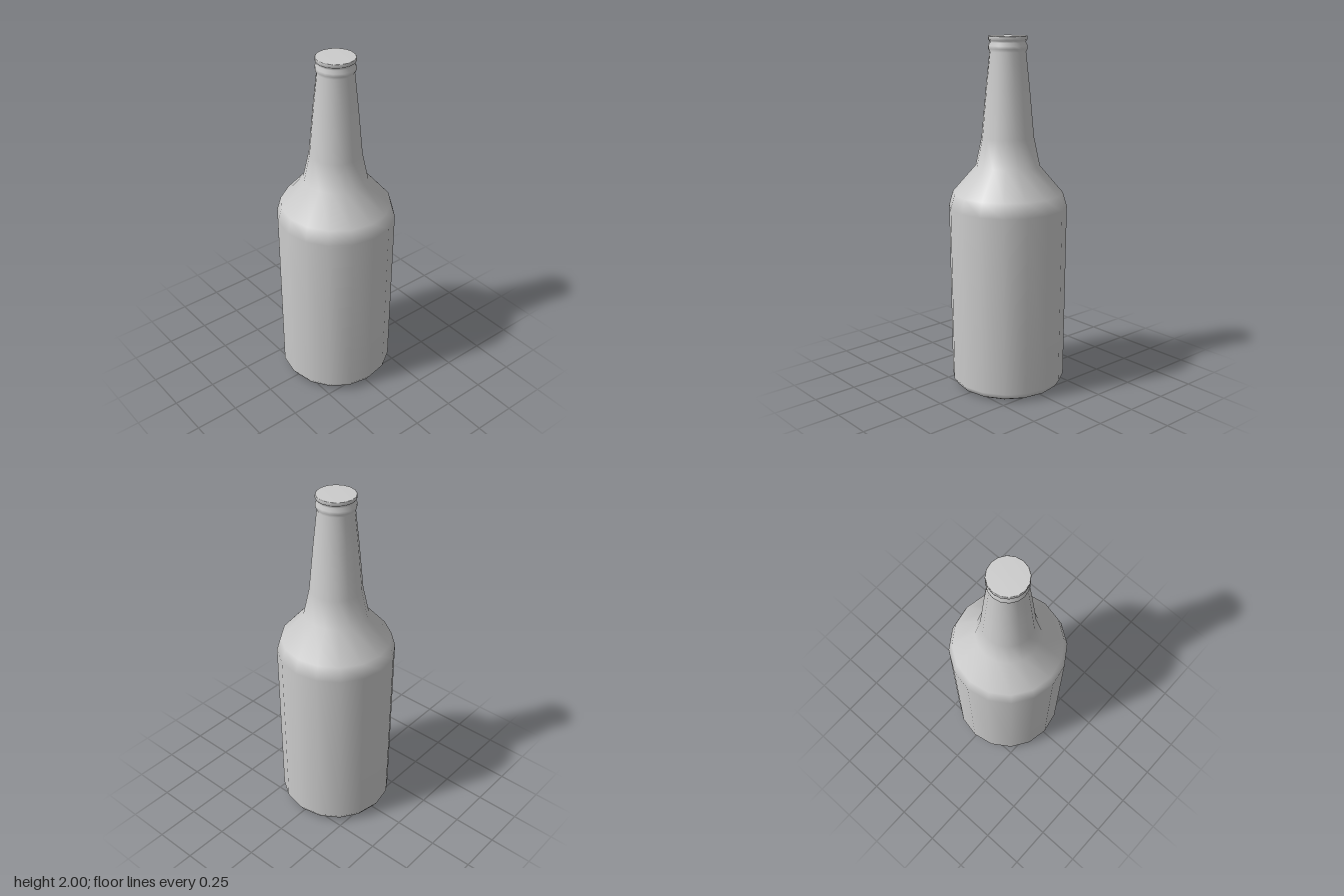
import * as THREE from 'three';

// Half-outlines [radius, height], bottom to top
const glassProfile = [
  [0, 0], [0.275, 0], [0.302, 0.015], [0.325, 0.05],  // base and rounded heel
  [0.333, 1.06], [0.31, 1.14],                        // body and shoulder
  [0.18, 1.29], [0.146, 1.45], [0.121, 1.72],         // neck
  [0.1, 1.915], [0.108, 1.932], [0.108, 1.948],       // ring below the lip
  [0.099, 1.965], [0.101, 1.976],                     // groove
  [0.108, 1.98], [0.108, 1.997], [0.105, 2], [0, 2],  // lip and closed top
];

export function createModel() {
  const group = new THREE.Group();
  const points = glassProfile.map(([r, y]) => new THREE.Vector2(r, y));
  const bottle = new THREE.Mesh(
    new THREE.LatheGeometry(points, 16),
    new THREE.MeshStandardMaterial({ color: 0xcccccc })
  );
  bottle.name = 'bottle';
  group.add(bottle);
  return group;
}
